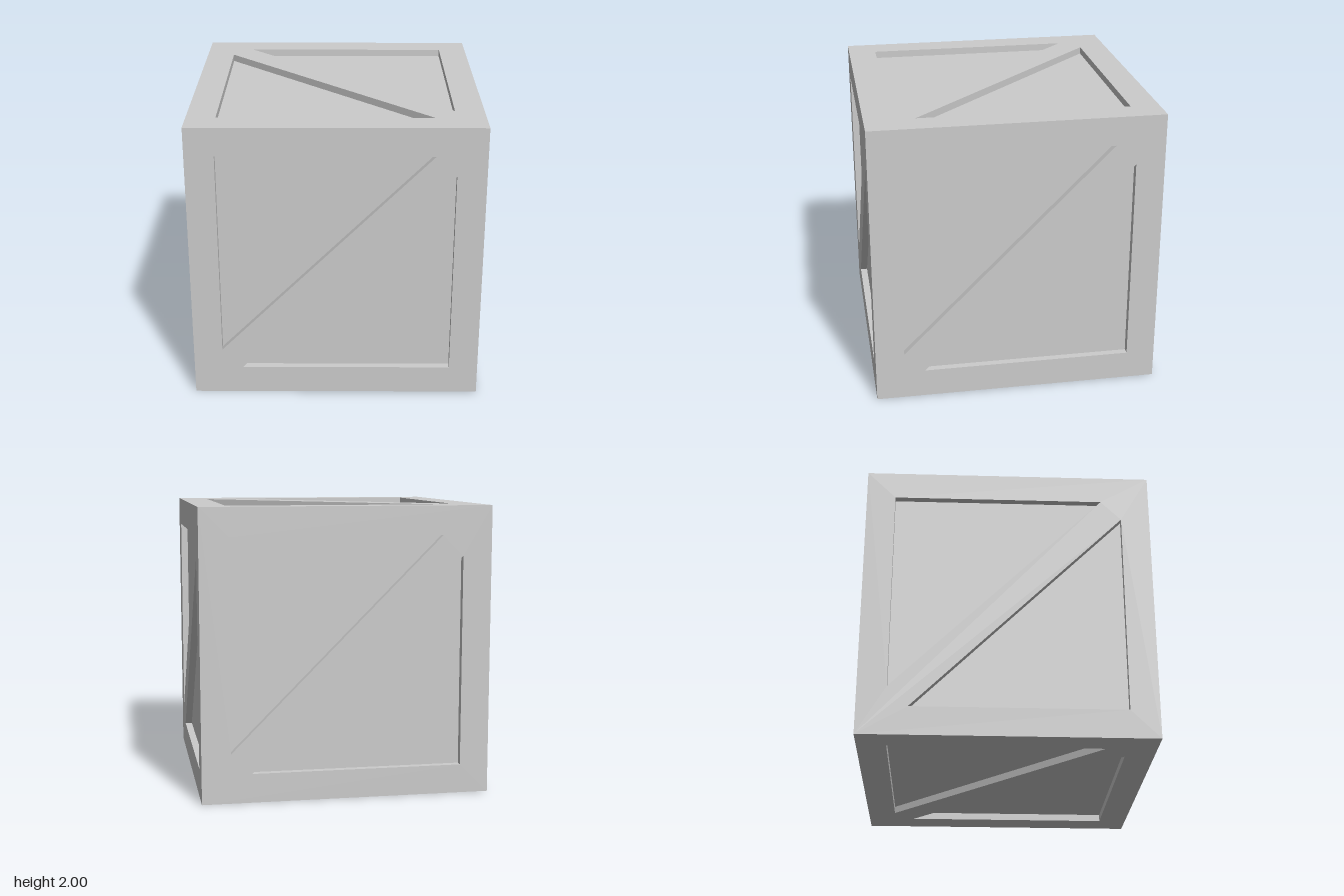
import * as THREE from 'three';

const HALF = 1;        // half the crate's side
const RECESS = 0.05;   // depth of the sunken panels
const INNER = 0.8;     // inner edge of the border planks
const GAP = 0.1 * Math.SQRT2; // offset of the hole edges from the diagonal

// Border planks and diagonal brace of one side, facing +z, mitred at the cube's edges
function frameGeometry() {
  const shape = new THREE.Shape([
    new THREE.Vector2(-HALF, -HALF), new THREE.Vector2(HALF, -HALF),
    new THREE.Vector2(HALF, HALF), new THREE.Vector2(-HALF, HALF),
  ]);
  for (const s of [1, -1]) {
    shape.holes.push(new THREE.Path([
      new THREE.Vector2(-INNER * s, INNER * s),
      new THREE.Vector2(-INNER * s, (GAP - INNER) * s),
      new THREE.Vector2((INNER - GAP) * s, INNER * s),
    ]));
  }
  const geo = new THREE.ExtrudeGeometry(shape, { depth: RECESS, bevelEnabled: false });
  geo.translate(0, 0, HALF - RECESS);

  // Pull the rear outline inward so that neighbouring sides meet in a mitre
  const p = geo.attributes.position;
  const limit = HALF - RECESS;
  for (let i = 0; i < p.count; i++) {
    if (p.getZ(i) < HALF - RECESS / 2) {
      p.setX(i, THREE.MathUtils.clamp(p.getX(i), -limit, limit));
      p.setY(i, THREE.MathUtils.clamp(p.getY(i), -limit, limit));
    }
  }
  geo.computeVertexNormals();
  return geo;
}

export function createModel() {
  const crate = new THREE.Group();
  crate.name = 'crate';
  const material = new THREE.MeshStandardMaterial({ color: 0xcccccc, flatShading: true });

  // Core whose faces are the sunken panels
  const side = 2 * (HALF - RECESS);
  const panels = new THREE.Mesh(new THREE.BoxGeometry(side, side, side), material);
  panels.name = 'sunkenPanels';
  panels.position.y = HALF;
  crate.add(panels);

  // Six frames: [name, pitch, yaw, roll]
  const q = Math.PI / 2;
  const geo = frameGeometry();
  const sides = [
    ['frontFrame', 0, 0, 0],
    ['leftFrame', 0, q, 0],
    ['backFrame', 0, 2 * q, 0],
    ['rightFrame', 0, -q, 0],
    ['topFrame', -q, 0, q],
    ['bottomFrame', q, 0, q],
  ];
  for (const [name, pitch, yaw, roll] of sides) {
    const frame = new THREE.Mesh(geo, material);
    frame.name = name;
    frame.rotation.set(pitch, yaw, roll);
    frame.position.y = HALF;
    crate.add(frame);
  }
  return crate;
}
